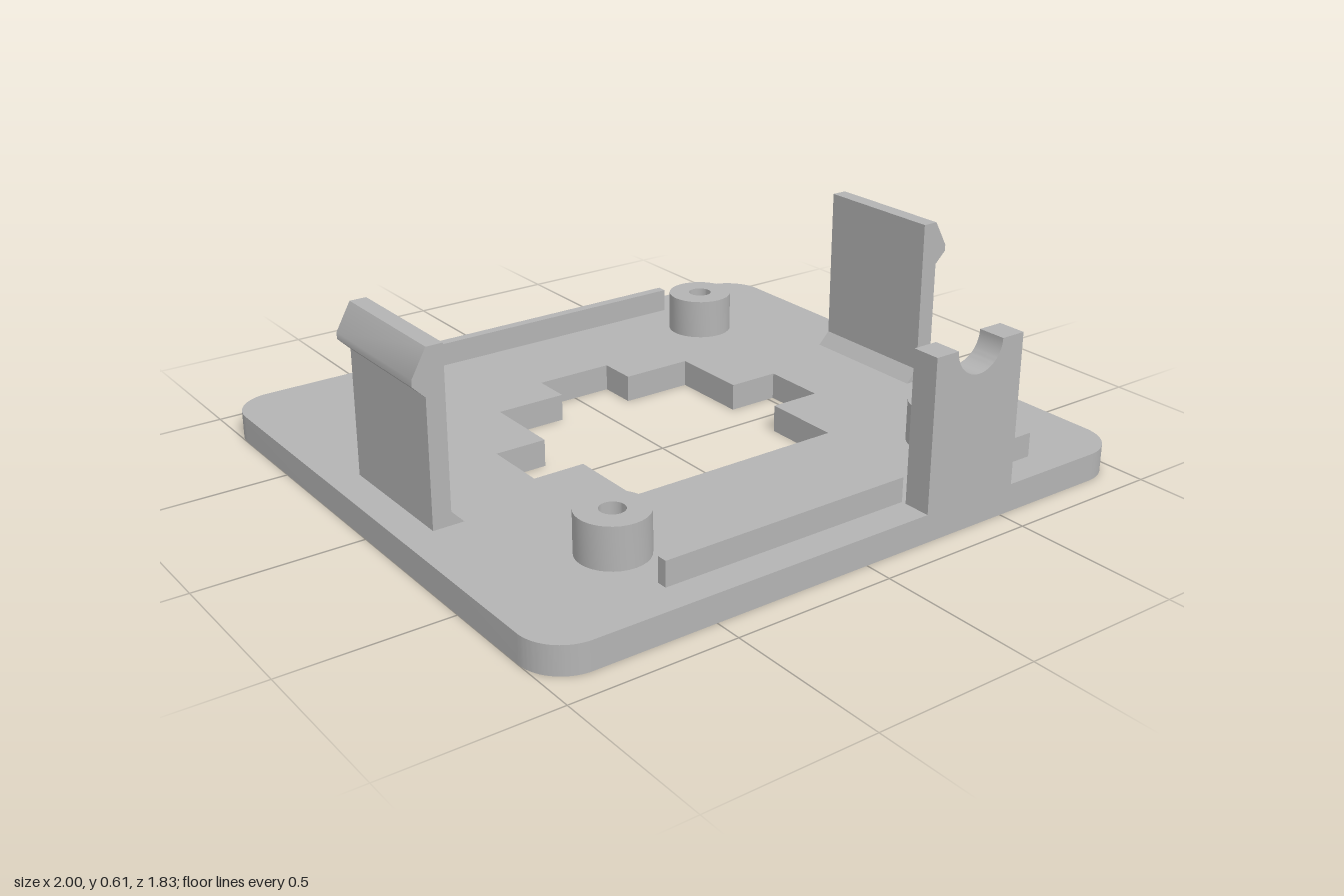
import * as THREE from 'three';
import { toCreasedNormals } from 'three/addons/utils/BufferGeometryUtils.js';

const PLATE_TOP = 0.085;

export function createModel() {
  const group = new THREE.Group();
  const grey = new THREE.MeshStandardMaterial({ color: 0xb4b4b4 });
  grey.name = 'grey plastic';

  const add = (name, geometry) => {
    const mesh = new THREE.Mesh(geometry, grey);
    mesh.name = name;
    group.add(mesh);
    return mesh;
  };
  const extrude = (shape, depth) => toCreasedNormals(
    new THREE.ExtrudeGeometry(shape, { depth, bevelEnabled: false, curveSegments: 16 }), 0.6);
  const polygon = (points) => points.map(([x, y]) => new THREE.Vector2(x, y));

  // Base plate with rounded corners; shape y is -z
  const w = 1, d = 0.915, r = 0.13;
  const plate = new THREE.Shape();
  plate.absarc(w - r, d - r, r, 0, Math.PI / 2);
  plate.absarc(-w + r, d - r, r, Math.PI / 2, Math.PI);
  plate.absarc(-w + r, -d + r, r, Math.PI, Math.PI * 1.5);
  plate.absarc(w - r, -d + r, r, Math.PI * 1.5, Math.PI * 2);
  plate.closePath();
  // Stepped central opening
  plate.holes.push(new THREE.Path(polygon([
    [-0.355, -0.352], [-0.355, -0.1], [-0.52, -0.1], [-0.52, 0.105],
    [-0.355, 0.105], [-0.355, 0.36], [-0.128, 0.36], [-0.128, 0.482],
    [0.125, 0.482], [0.125, 0.36], [0.355, 0.36], [0.355, 0.105],
    [0.52, 0.105], [0.52, -0.1], [0.355, -0.1], [0.355, -0.352],
  ])));
  add('basePlate', extrude(plate, PLATE_TOP).rotateX(-Math.PI / 2));

  // Four hollow screw bosses
  const ring = new THREE.Shape().absarc(0, 0, 0.104, 0, Math.PI * 2);
  ring.holes.push(new THREE.Path().absarc(0, 0, 0.037, 0, Math.PI * 2, true));
  const boss = extrude(ring, 0.127).rotateX(-Math.PI / 2);
  for (const x of [-0.588, 0.588]) {
    for (const z of [-0.588, 0.588]) {
      add('screwBoss', boss).position.set(x, PLATE_TOP, z);
    }
  }

  // Low locating rails
  const rail = (name, x0, x1, z) => add(name, new THREE.BoxGeometry(x1 - x0, 0.075, 0.032))
    .position.set((x0 + x1) / 2, PLATE_TOP + 0.0375, z);
  rail('backRail', -0.588, 0.588, -0.81);
  rail('frontLongRail', -0.588, 0.213, 0.801);
  rail('frontShortRail', 0.544, 0.712, 0.801);

  // Cable post with a half-round notch
  const post = new THREE.Shape();
  post.moveTo(0.214, PLATE_TOP);
  post.lineTo(0.536, PLATE_TOP);
  post.lineTo(0.536, 0.54);
  post.absarc(0.375, 0.54, 0.083, 0, Math.PI, true);
  post.lineTo(0.214, 0.54);
  post.closePath();
  add('cablePost', extrude(post, 0.085)).position.z = 0.83;

  // Snap clips with outward barbs and a chamfered inner foot
  const clip = extrude(new THREE.Shape(polygon([
    [0.81, PLATE_TOP], [0.905, PLATE_TOP], [0.905, 0.468], [0.943, 0.505],
    [0.943, 0.525], [0.898, 0.606], [0.848, 0.606], [0.848, 0.125],
  ])), 0.424).translate(0, 0, -0.212);
  add('leftClip', clip);
  add('rightClip', clip).rotation.y = Math.PI;

  return group;
}
